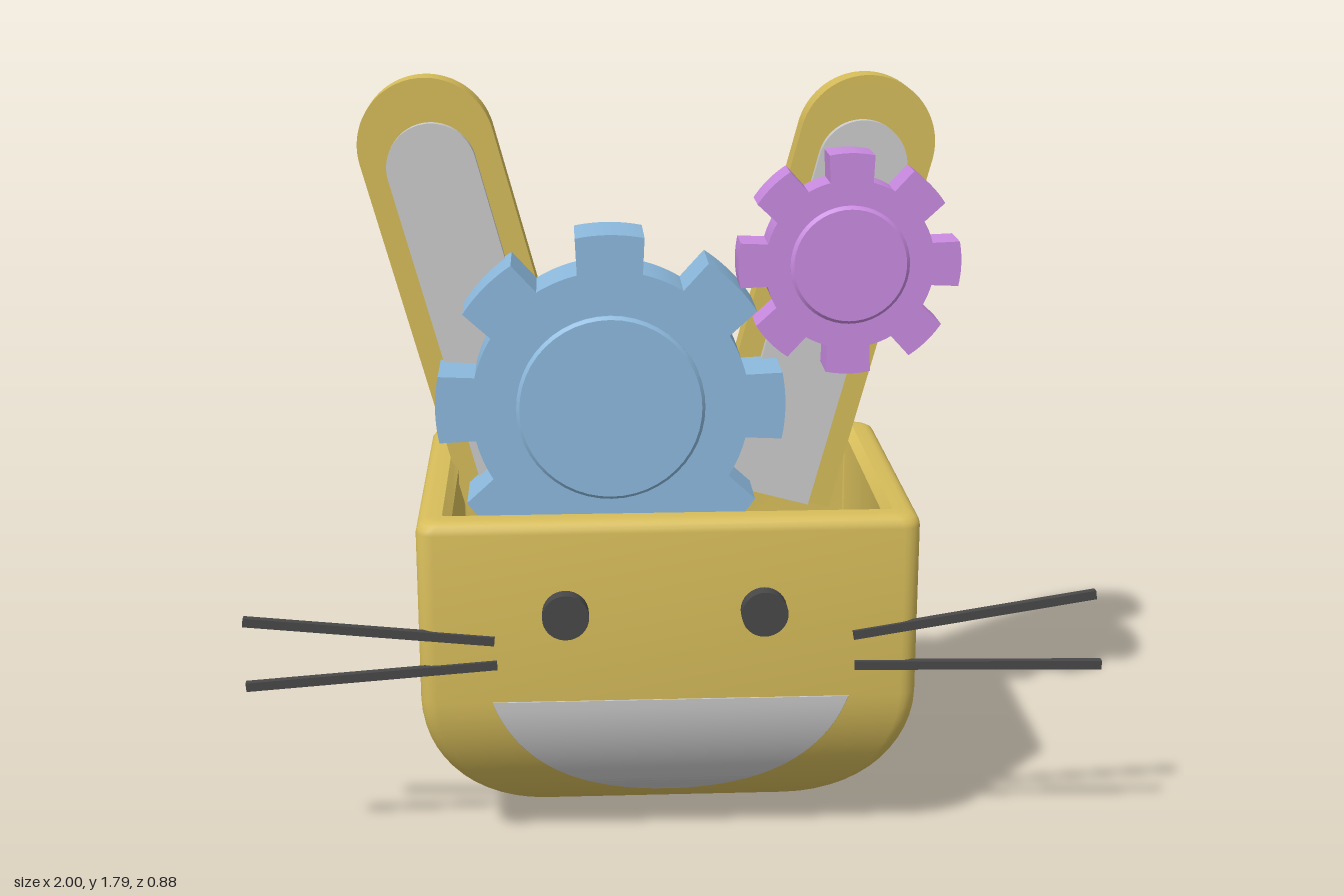
import * as THREE from 'three';
import { toCreasedNormals } from 'three/addons/utils/BufferGeometryUtils.js';

const mat = (color) => new THREE.MeshStandardMaterial({ color });
const yellow = mat(0xd6bc5a), blue = mat(0x8cb9dd), purple = mat(0xc98ae0);
const dark = mat(0x484848), grey = mat(0xcccccc);

const CX = -0.018, CZ = -0.02, HX = 0.583, HZ = 0.42, R = 0.4, WALL = 0.08;

function mesh(name, geometry, material, parent) {
  const m = new THREE.Mesh(geometry, material);
  m.name = name;
  parent.add(m);
  return m;
}

// Rounded rectangle at height y, as a ring of points
function ring(y, cx, cz, hx, hz, r, seg = 5) {
  const pts = [];
  [[1, 1], [-1, 1], [-1, -1], [1, -1]].forEach(([sx, sz], q) => {
    for (let i = 0; i <= seg; i++) {
      const a = (q + i / seg) * Math.PI / 2;
      pts.push([cx + sx * (hx - r) + r * Math.cos(a), y, cz + sz * (hz - r) + r * Math.sin(a)]);
    }
  });
  return pts;
}

// Skin a stack of rings and close both ends
function loft(rings, crease) {
  const n = rings[0].length, index = [];
  for (let j = 0; j < rings.length - 1; j++) {
    for (let i = 0; i < n; i++) {
      const a = j * n + i, b = j * n + (i + 1) % n;
      index.push(a, a + n, b, b, a + n, b + n);
    }
  }
  const e = (rings.length - 1) * n;
  for (let i = 1; i < n - 1; i++) index.push(0, i, i + 1, e, e + i + 1, e + i);
  const g = new THREE.BufferGeometry();
  g.setAttribute('position', new THREE.Float32BufferAttribute(rings.flat(2), 3));
  g.setIndex(index);
  return toCreasedNormals(g, crease);
}

// How far the rounded underside pulls in at height y
function inset(y, r) {
  if (y >= r) return 0;
  const t = 1 - Math.max(y, 0) / r, p = 1.85;
  return r * (1 - Math.pow(1 - Math.pow(t, p), 1 / p));
}

// Hollow box with a curved underside and a rounded rim
function bodyGeometry() {
  const rings = [], steps = 18;
  const add = (y, off, r) => rings.push(ring(y, CX, CZ, HX - off, HZ - off, Math.min(r, HZ - off - 0.002)));
  const height = (i, r) => r * (1 - Math.cos(i / steps * Math.PI / 2));
  for (let i = 0; i <= steps; i++) add(height(i, R), Math.min(inset(height(i, R), R), R - 0.01), 0.04);
  for (let i = 0; i <= 4; i++) {
    const a = i / 4 * Math.PI / 2;
    add(0.81 + 0.03 * Math.sin(a), 0.03 * (1 - Math.cos(a)), 0.04);
  }
  add(0.84, 0.06, 0.01);
  add(0.82, WALL, 0.005);
  const ri = R - WALL;
  for (let i = steps; i >= 0; i--) add(WALL + height(i, ri), WALL + Math.min(inset(height(i, ri), ri), ri - 0.01), 0.005);
  return loft(rings, 0.6);
}

// Smile: a circle segment whose front follows the curve of the body
function mouthGeometry() {
  const rings = [], rad = 0.442, back = 0.165;
  for (let i = 0; i <= 24; i++) {
    const y = 0.104 + 0.296 * (i / 24) ** 2;
    const half = Math.sqrt(Math.max(rad * rad - (0.545 - y) ** 2, 1e-5));
    const front = CZ + HZ - inset(y, R) + 0.004;
    rings.push(ring(y, -0.015, (front + back) / 2, half, (front - back) / 2, 0.001, 1));
  }
  return loft(rings, 0.6);
}

// Paddle with a round top, origin at the centre of the round
function earGeometry(r, length, depth) {
  const s = new THREE.Shape();
  s.moveTo(-r, -length);
  s.lineTo(r, -length);
  s.absarc(0, 0, r, 0, Math.PI, false);
  s.closePath();
  return toCreasedNormals(new THREE.ExtrudeGeometry(s, { depth, bevelEnabled: false, curveSegments: 24 }), 0.6);
}

// Eight-toothed gear with a raised hub on both faces
function gear(name, material, { x, y, root, tip, tooth, hub, z0, z1, h0, h1 }) {
  const g = new THREE.Group();
  g.name = name;
  const s = new THREE.Shape();
  const half = tooth / 2, aRoot = Math.asin(half * 0.95 / root), aTip = Math.asin(half / tip);
  for (let k = 0; k < 8; k++) {
    const c = k * Math.PI / 4;
    if (k === 0) s.moveTo(root * Math.cos(-aRoot), root * Math.sin(-aRoot));
    s.lineTo(tip * Math.cos(c - aTip), tip * Math.sin(c - aTip));
    s.absarc(0, 0, tip, c - aTip, c + aTip, false);
    s.lineTo(root * Math.cos(c + aRoot), root * Math.sin(c + aRoot));
    s.absarc(0, 0, root, c + aRoot, c + Math.PI / 4 - aRoot, false);
  }
  const wheel = new THREE.ExtrudeGeometry(s, { depth: z1 - z0, bevelEnabled: false, curveSegments: 6 });
  mesh(name + 'Wheel', toCreasedNormals(wheel, 0.5), material, g).position.z = z0;
  const b = 0.008;
  const profile = [[0, h0], [hub - b, h0], [hub, h0 + b], [hub, h1 - b], [hub - b, h1], [0, h1]];
  const disc = new THREE.LatheGeometry(profile.map(([px, py]) => new THREE.Vector2(px, py)), 48);
  disc.rotateX(Math.PI / 2);
  mesh(name + 'Hub', toCreasedNormals(disc, 0.5), material, g);
  g.position.set(x, y, 0);
  return g;
}

export function createModel() {
  const model = new THREE.Group();
  model.name = 'gearBoxAnimal';

  mesh('body', bodyGeometry(), yellow, model);
  mesh('mouth', mouthGeometry(), grey, model);

  // Ears lean outwards, each with a grey inlay
  for (const side of [-1, 1]) {
    const ear = new THREE.Group();
    ear.name = side > 0 ? 'leftEar' : 'rightEar';
    mesh('earShell', earGeometry(0.165, 0.91, 0.085), yellow, ear);
    const inlay = mesh('earInlay', earGeometry(0.108, 0.86, 0.03), grey, ear);
    inlay.position.set(0, -0.05, 0.08);
    ear.position.set(-0.045 + side * 0.532, 1.625, -0.19);
    ear.rotation.z = -side * 0.262;
    model.add(ear);
  }

  model.add(gear('largeGear', blue, {
    x: -0.143, y: 1.018, root: 0.335, tip: 0.422, tooth: 0.165, hub: 0.228,
    z0: -0.104, z1: 0.068, h0: -0.124, h1: 0.08,
  }));
  model.add(gear('smallGear', purple, {
    x: 0.43, y: 1.36, root: 0.203, tip: 0.267, tooth: 0.108, hub: 0.143,
    z0: -0.05, z1: 0.056, h0: -0.062, h1: 0.067,
  }));

  // Eyes
  for (const x of [-0.26, 0.2]) {
    const eye = mesh('eye', new THREE.CylinderGeometry(0.054, 0.054, 0.06, 32), dark, model);
    eye.rotation.x = Math.PI / 2;
    eye.position.set(x, 0.62, 0.407);
  }

  // Whiskers: thin rods between two points on the face plane
  const whiskers = [
    [-1, 0.613, -0.425, 0.554], [-1, 0.453, -0.42, 0.495],
    [0.41, 0.553, 0.978, 0.643], [0.415, 0.478, 1, 0.467],
  ];
  for (const [x0, y0, x1, y1] of whiskers) {
    const rod = new THREE.BoxGeometry(Math.hypot(x1 - x0, y1 - y0), 0.021, 0.018);
    const w = mesh('whisker', rod, dark, model);
    w.position.set((x0 + x1) / 2, (y0 + y1) / 2, 0.4);
    w.rotation.z = Math.atan2(y1 - y0, x1 - x0);
  }
  return model;
}
